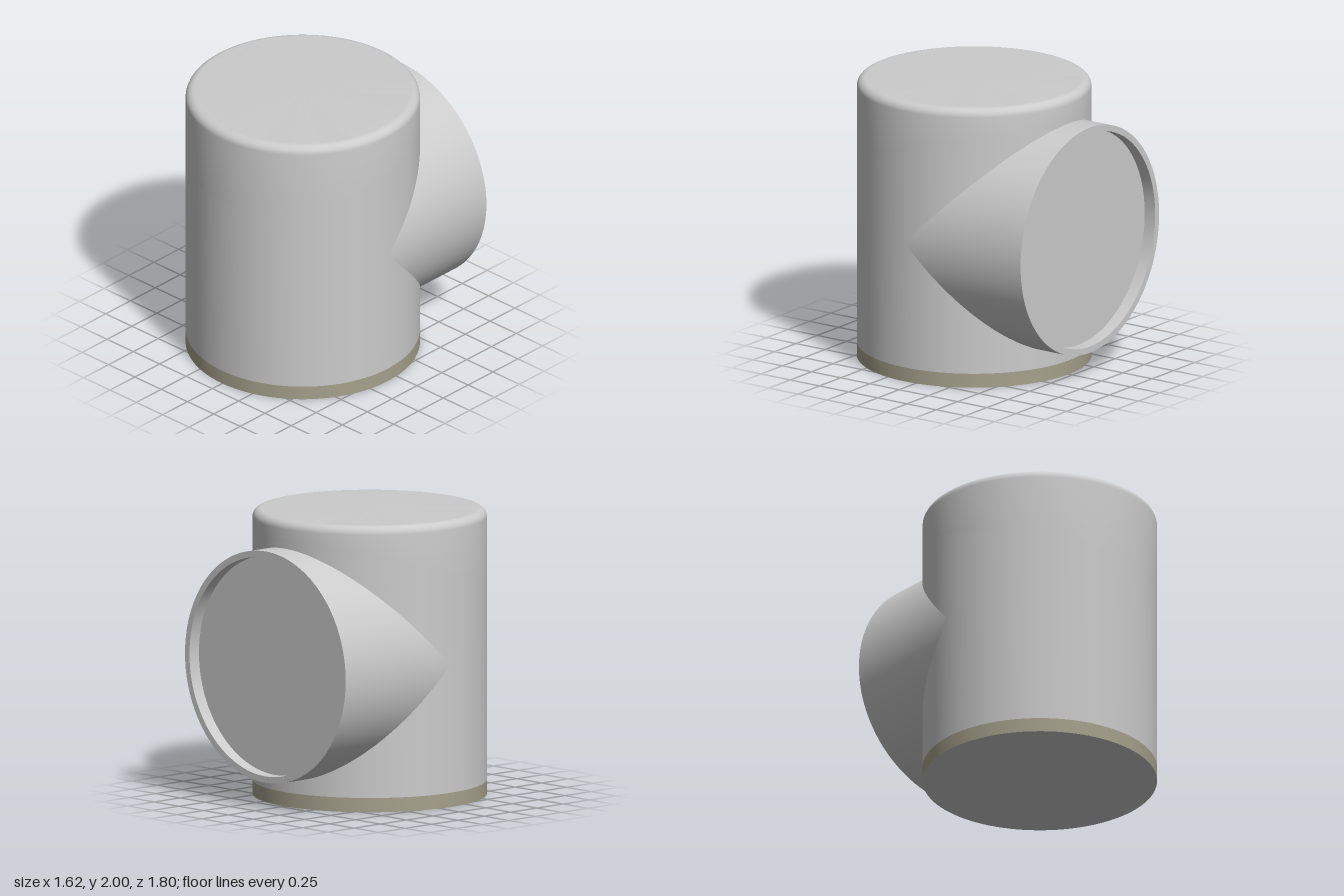
import * as THREE from 'three';
import { toCreasedNormals } from 'three/addons/utils/BufferGeometryUtils.js';

const R = 0.81;        // radius shared by the body and the side outlet
const SEGMENTS = 128;
const AXIS_Z = 0.09;   // body axis
const OUTLET_Y = 0.995;

// Lathe a profile; the optional rule gives the height of its first or last ring
function turned(profile, rule, ruledRow) {
  const geometry = new THREE.LatheGeometry(profile.map(([x, y]) => new THREE.Vector2(x, y)), SEGMENTS);
  if (rule) {
    const p = geometry.attributes.position;
    for (let i = ruledRow; i < p.count; i += profile.length) p.setY(i, rule(p.getX(i), p.getZ(i)));
  }
  return toCreasedNormals(geometry, 0.5);
}

export function createModel() {
  const model = new THREE.Group();
  const grey = new THREE.MeshStandardMaterial({ color: 0xcccccc });
  const bandMaterial = new THREE.MeshStandardMaterial({ color: 0xa6a18c });

  function add(name, geometry, material = grey, y = 0) {
    const mesh = new THREE.Mesh(geometry, material);
    mesh.name = name;
    mesh.position.set(0, y, AXIS_Z);
    model.add(mesh);
    return mesh;
  }

  // Slanted seam between the body and its cap, lower at the front
  const seam = (x, z) => 1.65 - 0.245 * z;

  // Base band and the flat underside
  add('baseBand', turned([[R, 0], [R, 0.1]]), bandMaterial);
  add('underside', new THREE.CircleGeometry(R, SEGMENTS).rotateX(Math.PI / 2));

  // Main cylinder below the seam
  add('body', turned([[R, 0.1], [R, 1.65]], seam, 1));

  // Cap above the seam, with a rounded top edge
  const fillet = 0.06;
  const capProfile = [[R, 1.65]];
  for (let i = 0; i <= 8; i++) {
    const a = (i / 8) * Math.PI / 2;
    capProfile.push([R - fillet + fillet * Math.cos(a), 2 - fillet + fillet * Math.sin(a)]);
  }
  capProfile.push([R - fillet - 0.005, 2], [0, 2]);
  add('cap', turned(capProfile, seam, 0));

  // Side outlet at the back: mitred onto the body, with a thin rim and recessed face
  const inner = 0.765;
  const outlet = turned(
    [[R, 0], [R, 0.99], [inner, 0.99], [inner, 0.9], [0, 0.9]],
    (x, z) => Math.abs(z), 0
  ).rotateX(-Math.PI / 2);
  add('outlet', outlet, grey, OUTLET_Y);

  return model;
}
